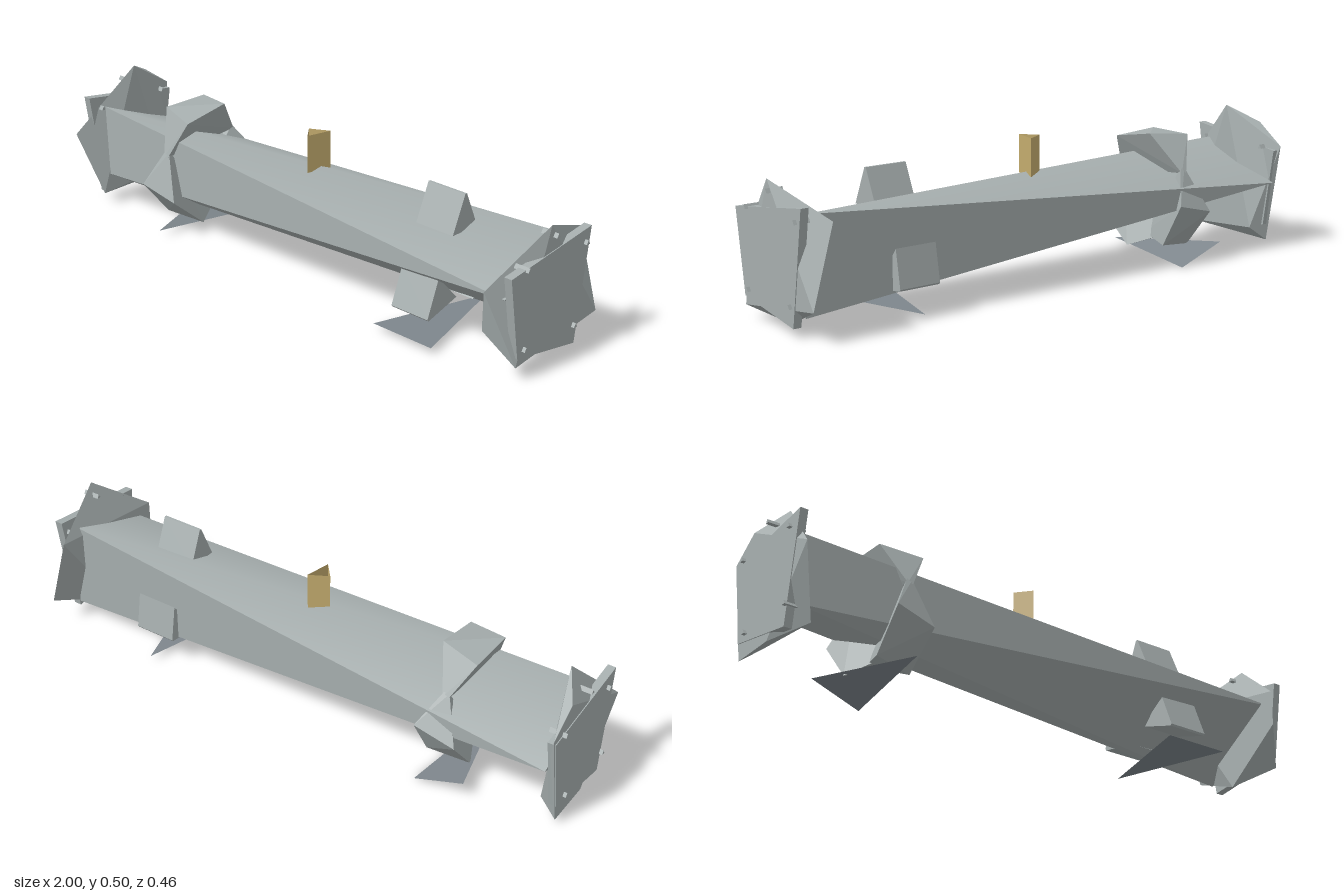
import * as THREE from 'three';
import { ConvexGeometry } from 'three/addons/geometries/ConvexGeometry.js';
import { toCreasedNormals } from 'three/addons/utils/BufferGeometryUtils.js';

const grey = new THREE.MeshStandardMaterial({ color: 0xa6aeae, side: THREE.DoubleSide });
const slate = new THREE.MeshStandardMaterial({ color: 0x7e868c, side: THREE.DoubleSide });
const brass = new THREE.MeshStandardMaterial({ color: 0xc4ac6e, side: THREE.DoubleSide });

// Faceted solid spanning a set of corner points [x, y, z]
function solid(name, points) {
  const mesh = new THREE.Mesh(new ConvexGeometry(points.map((p) => new THREE.Vector3(...p))), grey);
  mesh.name = name;
  return mesh;
}

// Corners of a cross-section at x, given as [z, y] pairs
const section = (x, ring) => ring.map(([z, y]) => [x, y, z]);

// Open surface from a list of triangles of [x, y, z] corners
function surface(name, triangles, material) {
  const geometry = new THREE.BufferGeometry();
  geometry.setAttribute('position', new THREE.Float32BufferAttribute(triangles.flat(2), 3));
  geometry.computeVertexNormals();
  const mesh = new THREE.Mesh(geometry, material);
  mesh.name = name;
  return mesh;
}

// Clamp plate on the tube: a raised top of angular half-width flat, with a foot on each side
function plate(name, { x, width, footWidth, angle, flat, twist, radius, footRadius, spread }) {
  const at = (dx, degrees, r) => {
    const a = THREE.MathUtils.degToRad(degrees);
    return [x + dx, 0.24 + r * Math.sin(a), r * Math.cos(a)];
  };
  const points = [];
  for (const end of [-0.5, 0.5]) {
    for (const side of [-1, 1]) {
      points.push(at(end * width, angle + side * flat - end * twist, radius));
      points.push(at(end * footWidth, angle + side * spread, footRadius));
    }
  }
  return solid(name, points);
}

export function createModel() {
  const group = new THREE.Group();

  // Main tube: a triangular section turning half a step along its length
  const tube = solid('tube', [
    ...section(-0.96, [[0.115, 0.365], [0.13, 0.115], [-0.2, 0.24]]),
    ...section(0.95, [[-0.13, 0.38], [-0.13, 0.06], [0.18, 0.27]])]);
  tube.geometry = toCreasedNormals(tube.geometry, 0.8);
  group.add(tube);

  // End collars with jagged rims
  group.add(solid('rightEndCollar', [
    ...section(0.91, [[0.015, 0.005], [-0.23, 0.37], [0.23, 0.3], [0.232, 0.175]]),
    ...section(0.985, [[0.015, 0.47], [-0.23, 0.105], [0.16, 0.05]])]));
  group.add(solid('leftEndCollar', [
    ...section(-0.92, [[0, 0.5], [-0.13, 0.07], [0.16, 0.05]]),
    ...section(-0.985, [[0.015, 0.025], [-0.15, 0.02], [-0.21, 0.37], [-0.105, 0.445], [0.225, 0.28]])]));

  // Flat end plates
  const cap = [[0.2, 0.355], [-0.178, 0.41], [-0.12, 0.033], [0.157, 0.08]];
  const capBack = cap.map(([z, y]) => [-z, y]);
  group.add(solid('rightEndPlate', [...section(0.96, cap), ...section(0.988, cap)]));
  group.add(solid('leftEndPlate', [...section(-0.96, capBack), ...section(-0.988, capBack)]));

  // Small pointed studs around both ends
  for (const side of [-1, 1]) {
    for (const [z, y] of [[0, 0.435], [0.13, 0.365], [-0.15, 0.365], [0.13, 0.105], [-0.11, 0.1]]) {
      const ring = [[z, y + 0.008], [z + 0.008, y - 0.006], [z - 0.008, y - 0.006]];
      group.add(solid('endStud', [...section(side * 0.94, ring), ...section(side, ring)]));
    }
  }

  // Broad faceted clamp near one end
  for (const angle of [85, -45, 215]) {
    group.add(plate('broadClampPlate', {
      x: -0.573, width: 0.145, footWidth: 0.02, angle, flat: 24, twist: 10,
      radius: 0.215, footRadius: 0.168, spread: 68,
    }));
  }

  // Narrow tent-shaped clamp near the other end
  for (const [angle, footRadius, spread] of [[90, 0.115, 30], [-43, 0.12, 32], [217, 0.16, 35]]) {
    group.add(plate('narrowClampPlate', {
      x: 0.567, width: 0.15, footWidth: 0.15, angle, flat: 1, twist: 0,
      radius: 0.224, footRadius, spread,
    }));
  }

  // Thin triangular feet under the tube, pointing in opposite directions
  group.add(surface('rightFoot', [[[0.45, 0.025, 0.203], [0.69, 0.025, 0.203], [0.57, 0.025, -0.21]]], slate));
  group.add(surface('leftFoot', [[[-0.51, 0.003, -0.215], [-0.69, 0.068, -0.215], [-0.57, 0.025, 0.205]]], slate));

  // Open three-sided sight on top
  const corners = [[-0.045, -0.01], [0.02, -0.045], [0, 0.043]];
  const walls = corners.flatMap(([x0, z0], i) => {
    const [x1, z1] = corners[(i + 1) % 3];
    const a = [x0, 0.36, z0], b = [x1, 0.36, z1], c = [x1, 0.49, z1], d = [x0, 0.49, z0];
    return [[a, c, b], [a, d, c]];
  });
  group.add(surface('sight', walls, brass));

  return group;
}
